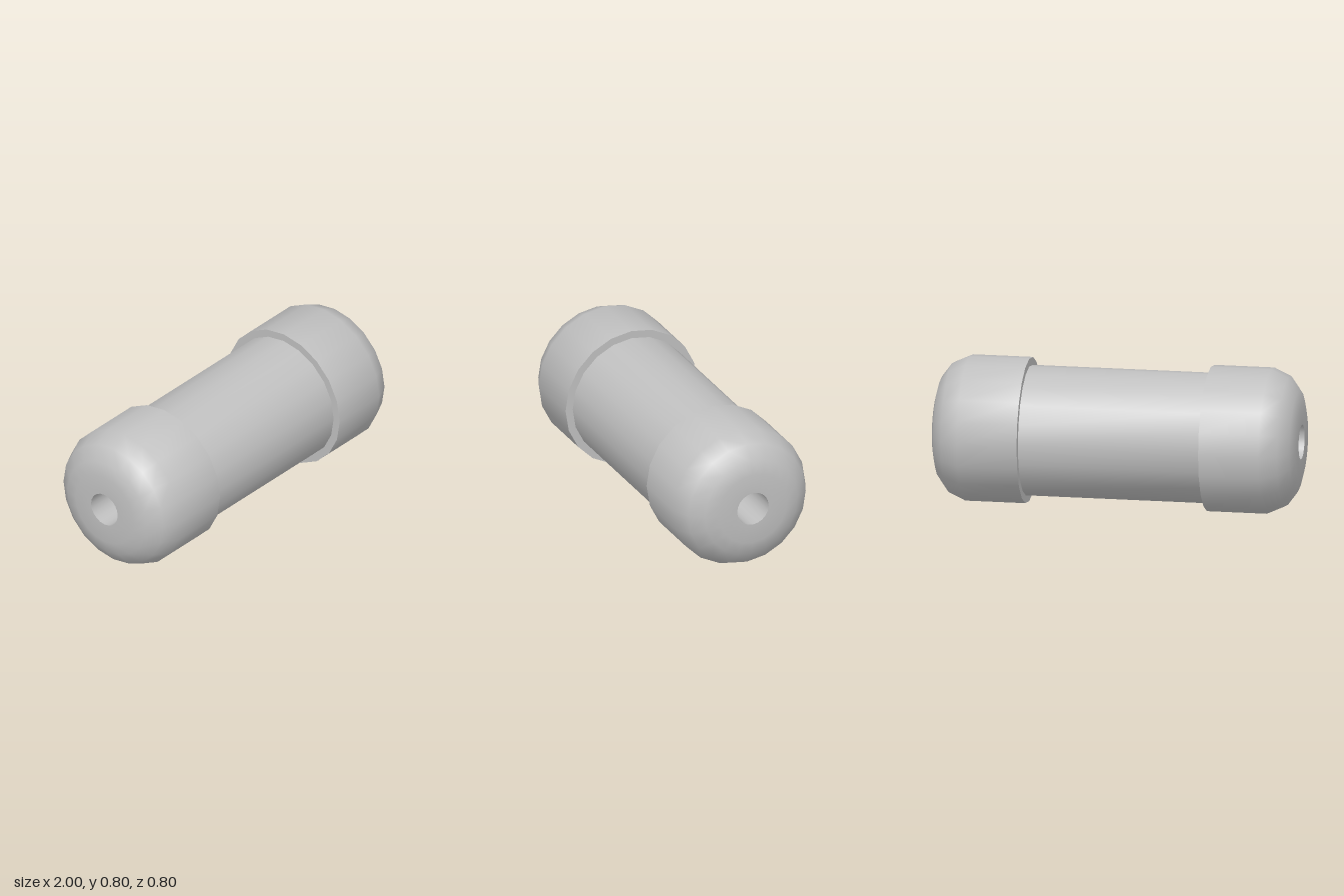
import * as THREE from 'three';
import { toCreasedNormals } from 'three/addons/utils/BufferGeometryUtils.js';

const SIDES = 20;
const BORE = 0.095, BODY = 0.355, CAP = 0.398;

// Revolve a [radius, distance along axis] profile around the x axis
function turned(name, profile, material, direction = 1) {
  const points = profile.map(([r, d]) => new THREE.Vector2(r, d));
  const geometry = toCreasedNormals(new THREE.LatheGeometry(points, SIDES), 0.75);
  geometry.rotateZ(-direction * Math.PI / 2);
  const mesh = new THREE.Mesh(geometry, material);
  mesh.name = name;
  return mesh;
}

export function createModel() {
  const model = new THREE.Group();
  model.name = 'cappedCylinder';
  const grey = new THREE.MeshStandardMaterial({ color: 0xc0c0c0 });
  grey.name = 'grey';

  const assembly = new THREE.Group();
  assembly.name = 'assembly';
  assembly.position.y = CAP;
  model.add(assembly);

  // Central barrel
  assembly.add(turned('barrel', [[BODY, -0.5], [BODY, 0.5]], grey));

  // Rounded end caps with a step at the barrel and a flat, pierced end
  const capProfile = [
    [BODY, 0.5], [CAP, 0.5], [CAP, 0.83], [0.355, 0.925],
    [0.28, 0.98], [0.205, 1], [BORE, 1],
  ];
  assembly.add(turned('leftCap', capProfile, grey, 1));
  assembly.add(turned('rightCap', capProfile, grey, -1));

  // Hole through the whole length, facing inward
  assembly.add(turned('bore', [[BORE, 1], [BORE, -1]], grey));

  return model;
}
